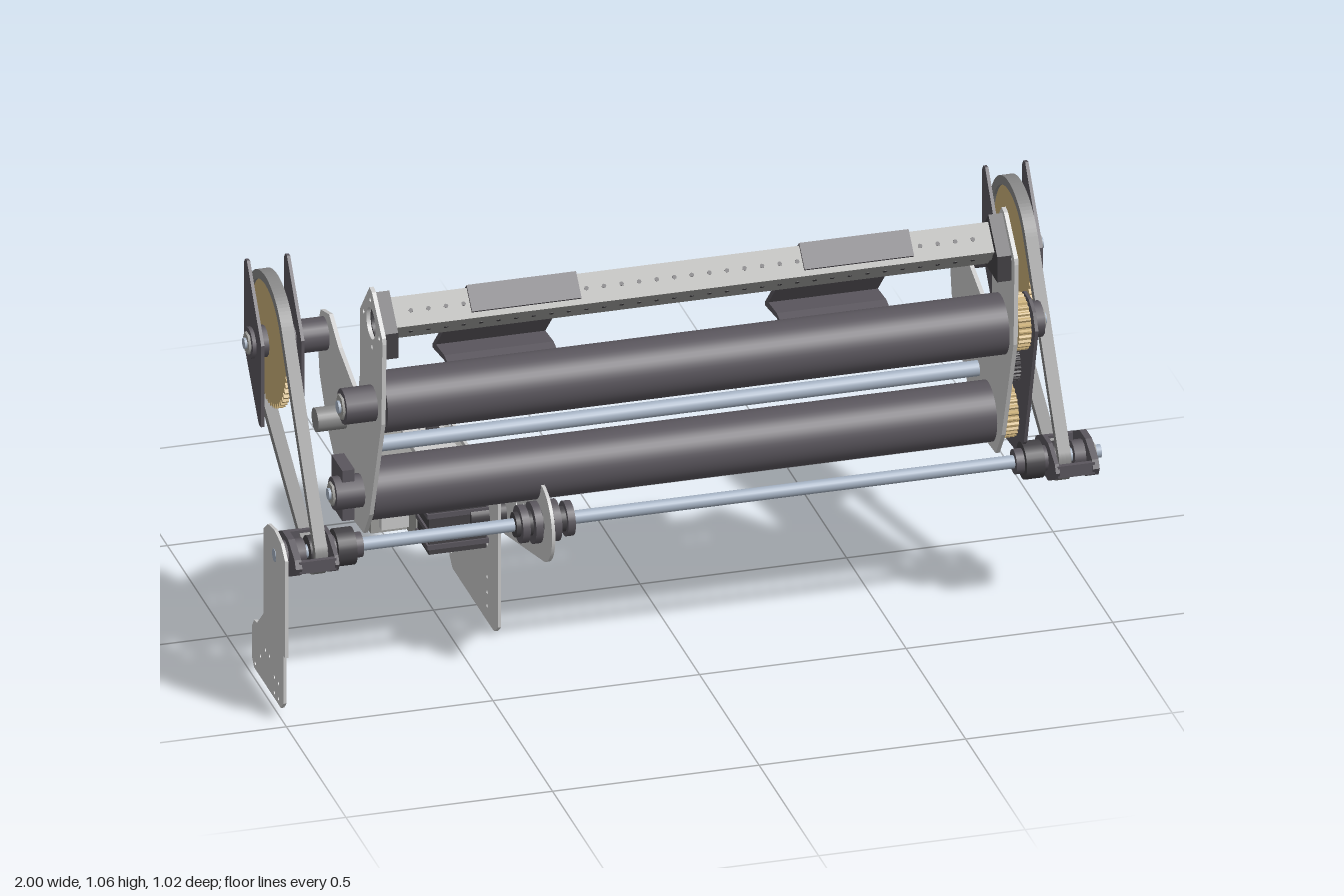
import * as THREE from 'three';

const mat = (name, color) => Object.assign(new THREE.MeshStandardMaterial({ color }), { name });
const dark = mat('dark anodised', 0x5a565d);
const black = mat('charcoal', 0x434145);
const light = mat('light sheet metal', 0xcbcbcb);
const grey = mat('belt grey', 0x868686);
const alu = mat('aluminium tube', 0x9d9d9a);
const gold = mat('gold gear', 0xc9ae78);
const steel = mat('blue steel', 0xa6b3c4);

export function createModel() {
  const root = new THREE.Group();
  const add = (name, geo, m, x = 0, y = 0, z = 0, parent = root) => {
    const mesh = new THREE.Mesh(geo, m);
    mesh.name = name;
    mesh.position.set(x, y, z);
    parent.add(mesh);
    return mesh;
  };
  const box = (name, m, w, h, d, x, y, z) => add(name, new THREE.BoxGeometry(w, h, d), m, x, y, z);
  // Cylinder along x, from x0 to x1
  const rod = (name, m, r, x0, x1, y, z, sides = 32) =>
    add(name, new THREE.CylinderGeometry(r, r, Math.abs(x1 - x0), sides).rotateZ(Math.PI / 2), m, (x0 + x1) / 2, y, z);
  // Cylinder along z
  const rodZ = (name, m, r, z0, z1, x, y, sides = 32) =>
    add(name, new THREE.CylinderGeometry(r, r, Math.abs(z1 - z0), sides).rotateX(Math.PI / 2), m, x, y, (z0 + z1) / 2);

  // Shapes are drawn in the side plane as [z, y] and extruded along x
  const poly = pts => new THREE.Shape(pts.map(([z, y]) => new THREE.Vector2(-z, y)));
  const punch = (shape, holes) => {
    holes.forEach(([z, y, r]) => shape.holes.push(new THREE.Path().absarc(-z, y, r, 0, Math.PI * 2, true)));
    return shape;
  };
  const plate = (name, m, shape, x, t) =>
    add(name, new THREE.ExtrudeGeometry(shape, { depth: t, bevelEnabled: false, curveSegments: 32 })
      .translate(0, 0, -t / 2).rotateY(Math.PI / 2), m, x);
  // Outline wrapped round two circles
  const wrap = (z1, y1, r1, z2, y2, r2, S = THREE.Shape) => {
    const a = Math.atan2(y2 - y1, z1 - z2), b = Math.acos((r1 - r2) / Math.hypot(z2 - z1, y2 - y1));
    const s = new S();
    s.absarc(-z1, y1, r1, a + b, a - b + Math.PI * 2, false);
    s.absarc(-z2, y2, r2, a - b, a + b, false);
    s.closePath();
    return s;
  };
  const gear = (z, y, r, teeth) => {
    const pts = [];
    for (let i = 0; i < teeth * 4; i++) {
      const a = i / teeth / 4 * Math.PI * 2, q = i % 4 < 2 ? r : r * 0.93;
      pts.push([z + q * Math.cos(a), y + q * Math.sin(a)]);
    }
    return poly(pts);
  };
  // Hub with bolt ring and shaft end
  const hub = (name, x0, x1, y, z, r, s) => {
    rod(name, dark, r, x0, x1, y, z, 12);
    rod(name + 'Collar', alu, r * 0.72, x1, x1 + s * 0.006, y, z, 6);
    rod(name + 'Shaft', steel, r * 0.35, x0, x1 + s * 0.012, y, z, 16);
  };

  const U = [0.43, 0.775], L = [0.325, 0.5], D = [0.395, 0.395], P = [0.025, 0.765], G = [0.085, 0.275];

  // Rollers and long shafts
  rod('upperRoller', dark, 0.073, -0.755, 0.75, U[1], U[0], 48);
  rod('lowerRoller', dark, 0.073, -0.755, 0.75, L[1], L[0], 48);
  rod('driveShaft', steel, 0.016, -1, 1, D[1], D[0], 20);
  rod('rearShaft', steel, 0.019, -0.76, 0.76, 0.55, 0.2, 20);

  // Square tube turned on edge, with rows of holes on every face
  const tube = box('topTube', alu, 1.47, 0.076, 0.076, 0, 0.977, 0.408);
  tube.rotation.x = Math.PI / 4;
  const dot = new THREE.CylinderGeometry(0.0055, 0.0055, 0.002, 8);
  for (let f = 0; f < 4; f++) {
    const face = new THREE.Group();
    face.name = 'tubeHoles';
    face.rotation.x = f * Math.PI / 2;
    tube.add(face);
    for (let i = 0; i < 33; i++) add('tubeHole', dot, black, -0.68 + i * 0.0425, 0.038, 0, face);
  }

  // Folded deflectors behind the tube
  const fold = [[0.408, 1.038], [0.12, 0.75], [0.12, 0.742], [0.22, 0.755], [0.31, 0.733], [0.31, 0.745],
    [0.22, 0.768], [0.15, 0.763], [0.408, 1.021], [0.45, 0.985], [0.455, 0.991]];
  for (const x of [-0.405, 0.4]) {
    plate('deflector', dark, poly(fold), x, 0.265);
    for (let i = 0; i < 7; i++) {
      const bolt = add('deflectorBolt', dot, black, x - 0.11 + i * 0.037, 1.0, 0.37);
      bolt.rotation.x = -Math.PI / 4;
    }
  }

  const sidePts = [[0.4, 1.06], [0.42, 1.055], [0.505, 0.975], [0.508, 0.96], [0.5, 0.75], [0.4, 0.47], [0.35, 0.4],
    [0.2, 0.39], [0.05, 0.53], [-0.02, 0.64], [-0.04, 0.75], [-0.01, 0.81], [0.06, 0.83], [0.14, 0.78],
    [0.24, 0.745], [0.3, 0.725], [0.32, 0.8], [0.322, 0.97]];
  const leverPts = [[-0.02, 0.955], [-0.035, 0.953], [-0.045, 0.94], [-0.045, 0.73], [0.075, 0.585], [0.085, 0.578],
    [0.1, 0.58], [0.101, 0.79]];
  const flangePts = [[0.305, 0.395], [0.315, 0.415], [0.37, 0.443], [0.42, 0.443], [0.475, 0.415], [0.486, 0.395],
    [0.475, 0.375], [0.42, 0.347], [0.37, 0.347], [0.315, 0.375]];

  for (const s of [-1, 1]) {
    // Side plate with tube opening and end cap
    plate('sidePlate', light, punch(poly(sidePts), [[0.412, 0.972, 0.038], [0.48, 0.965, 0.006], [0.35, 0.975, 0.006],
      [0.42, 0.915, 0.006], [0.405, 1.03, 0.006], [0.28, 0.7, 0.012], [0.24, 0.68, 0.008]]), s * 0.765, 0.01);
    plate('tubeEndCap', black, punch(poly([[0.41, 1.05], [0.485, 0.975], [0.485, 0.91], [0.34, 0.91], [0.34, 0.975]]),
      [[0.412, 0.972, 0.036]]), s * 0.742, 0.034);

    // Big toothed pulley, belt and levers
    plate('largePulley', gold, gear(...P, 0.16, 52), s * 0.9, 0.016);
    const belt = wrap(...P, 0.168, ...D, 0.056);
    belt.holes.push(wrap(...P, 0.146, ...D, 0.036, THREE.Path));
    plate('belt', grey, belt, s * 0.9, 0.03);
    rod('smallPulley', black, 0.037, s * 0.88, s * 0.92, D[1], D[0]);
    for (const x of [0.845, 0.942]) plate('lever', dark, poly(leverPts), s * x, 0.008);
    rod('pulleyAxle', dark, 0.04, s * 0.77, s * 0.89, P[1], P[0], 24);
    rod('pulleyFlange', black, 0.055, s * 0.855, s * 0.872, P[1], P[0], 24);
    hub('pulleyHub', s * 0.915, s * 0.955, P[1], P[0], 0.038, s);

    // Drive shaft bearings and their bracket
    plate('bearingFlange', dark, poly(flangePts), s * 0.965, 0.016);
    plate('innerFlange', dark, poly(flangePts), s * 0.872, 0.01);
    for (const z of [0.31, 0.475]) box('bracketSide', dark, 0.09, 0.03, 0.012, s * 0.918, D[1], z);
    hub('bearingHub', s * 0.93, s * 0.98, D[1], D[0], 0.034, s);
    rod('innerHub', black, 0.045, s * 0.81, s * 0.855, D[1], D[0], 24);
    rod('innerCollar', dark, 0.03, s * 0.79, s * 0.88, D[1], D[0], 24);
    hub('upperRollerHub', s * 0.77, s * 0.845, U[1], U[0], 0.043, s);
    hub('lowerRollerHub', s * 0.77, s * 0.838, L[1], L[0], 0.04, s);
    rod('idler', grey, 0.029, s * 0.77, s * 0.84, 0.625, 0.185, 24);
  }

  // Roller gear train with dark cover on the left side
  for (const [z, y, r] of [[...U, 0.068], [...L, 0.068], [0.36, 0.64, 0.05]])
    plate('rollerGear', y === 0.64 ? black : gold, gear(z, y, r, 28), 0.79, 0.03);
  const coverHoles = [];
  for (let i = 0; i < 3; i++) for (let j = 0; j < 3; j++) coverHoles.push([0.275 - i * 0.022 - j * 0.003, 0.58 - j * 0.02, 0.0065]);
  plate('gearCover', dark, punch(poly([[0.41, 0.45], [0.38, 0.42], [0.33, 0.395], [0.2, 0.385], [0.17, 0.4], [0.04, 0.52],
    [-0.005, 0.6], [0.12, 0.59], [0.17, 0.585], [0.22, 0.6], [0.25, 0.625], [0.28, 0.628], [0.3, 0.618], [0.36, 0.75],
    [0.365, 0.79], [0.38, 0.82], [0.405, 0.838], [0.45, 0.838], [0.485, 0.82], [0.505, 0.78], [0.495, 0.74]]),
  coverHoles), 0.815, 0.008);

  // Hub block and small gusset on the right side
  box('rightBlock', dark, 0.03, 0.13, 0.09, -0.805, 0.5, 0.3);
  const gusset = new THREE.Shape([[-0.635, 0.69], [-0.592, 0.572], [-0.592, 0.69]].map(p => new THREE.Vector2(...p)));
  add('gusset', new THREE.ExtrudeGeometry(gusset, { depth: 0.08, bevelEnabled: false }), dark, 0, 0, 0.12);

  // Right foot plate
  plate('footPlate', light, punch(poly([[0.485, 0.42], [0.485, 0.17], [0.47, 0.17], [0.47, 0.045], [0.45, 0.025],
    [0.225, 0.025], [0.207, 0.045], [0.207, 0.125], [0.225, 0.148], [0.25, 0.152], [0.302, 0.2], [0.302, 0.42],
    [0.34, 0.45], [0.395, 0.46], [0.45, 0.45]]), [[0.43, 0.08, 0.005], [0.43, 0.04, 0.005], [0.395, 0.08, 0.005],
    [0.395, 0.04, 0.005], [0.355, 0.115, 0.005], [0.32, 0.115, 0.005], [0.28, 0.08, 0.005], [0.235, 0.04, 0.005]]), -0.995, 0.008);

  // Motor mounting plate
  plate('motorPlate', light, punch(poly([[0.18, 0.37], [0.18, 0.025], [0.155, 0.004], [0.14, 0], [-0.2, 0], [-0.225, 0.02],
    [-0.228, 0.04], [-0.228, 0.35], [-0.21, 0.37]]), [[0.09, 0.2, 0.005], [0.09, 0.115, 0.005], [0.09, 0.075, 0.005],
    [0.09, 0.04, 0.005], [-0.21, 0.08, 0.005], [-0.21, 0.04, 0.005], [-0.05, 0.31, 0.005], [-0.05, 0.275, 0.005],
    [-0.2, 0.275, 0.005], [-0.2, 0.24, 0.005]]), -0.392, 0.008);

  // Swing arm, its hubs and sprockets
  plate('swingArm', light, punch(wrap(...D, 0.095, ...G, 0.055), [[0.25, 0.37, 0.005], [0.23, 0.345, 0.005],
    [0.21, 0.32, 0.005], [0.19, 0.345, 0.005]]), -0.35, 0.008);
  for (const [x, r] of [[-0.4, 0.045], [-0.37, 0.05], [-0.325, 0.05], [-0.29, 0.042]])
    rod('shaftCollar', dark, r, x - 0.009, x + 0.009, D[1], D[0], 24);
  rod('shaftSleeve', black, 0.03, -0.42, -0.28, D[1], D[0], 24);
  rod('outputSleeve', black, 0.028, -0.44, -0.31, G[1], G[0], 24);
  hub('outputHub', -0.325, -0.298, G[1], G[0], 0.045, 1);

  // Gearbox with ribs and side housing
  box('gearbox', alu, 0.14, 0.19, 0.25, -0.473, 0.275, -0.122);
  box('gearboxFront', black, 0.14, 0.16, 0.1, -0.47, 0.275, 0.05);
  for (let i = 0; i < 4; i++) box('gearboxRib', dark, 0.15, 0.012, 0.1, -0.47, 0.215 + i * 0.04, 0.055);
  box('sideHousing', alu, 0.09, 0.19, 0.13, -0.585, 0.275, -0.14);
  box('sideHousingCap', light, 0.07, 0.14, 0.17, -0.575, 0.265, -0.14);
  box('gearboxLid', light, 0.1, 0.02, 0.13, -0.475, 0.375, -0.12);
  for (let i = 0; i < 3; i++) box('connector', black, 0.03, 0.03, 0.015, -0.46, 0.385, -0.095 - i * 0.026);

  // Motor
  rodZ('motorFlange', grey, 0.084, -0.225, -0.245, -0.475, 0.277);
  rodZ('motorBody', black, 0.088, -0.24, -0.42, -0.475, 0.277);
  rodZ('motorBand', dark, 0.09, -0.405, -0.425, -0.475, 0.277);
  rodZ('motorRear', black, 0.066, -0.425, -0.495, -0.475, 0.277, 24);
  rodZ('motorTail', dark, 0.05, -0.495, -0.508, -0.475, 0.277, 12);
  for (let i = 0; i < 6; i++) {
    const a = i * Math.PI / 3;
    rodZ('motorFin', dark, 0.012, -0.43, -0.5, -0.475 + 0.06 * Math.cos(a), 0.277 + 0.06 * Math.sin(a), 8);
  }
  return root;
}
